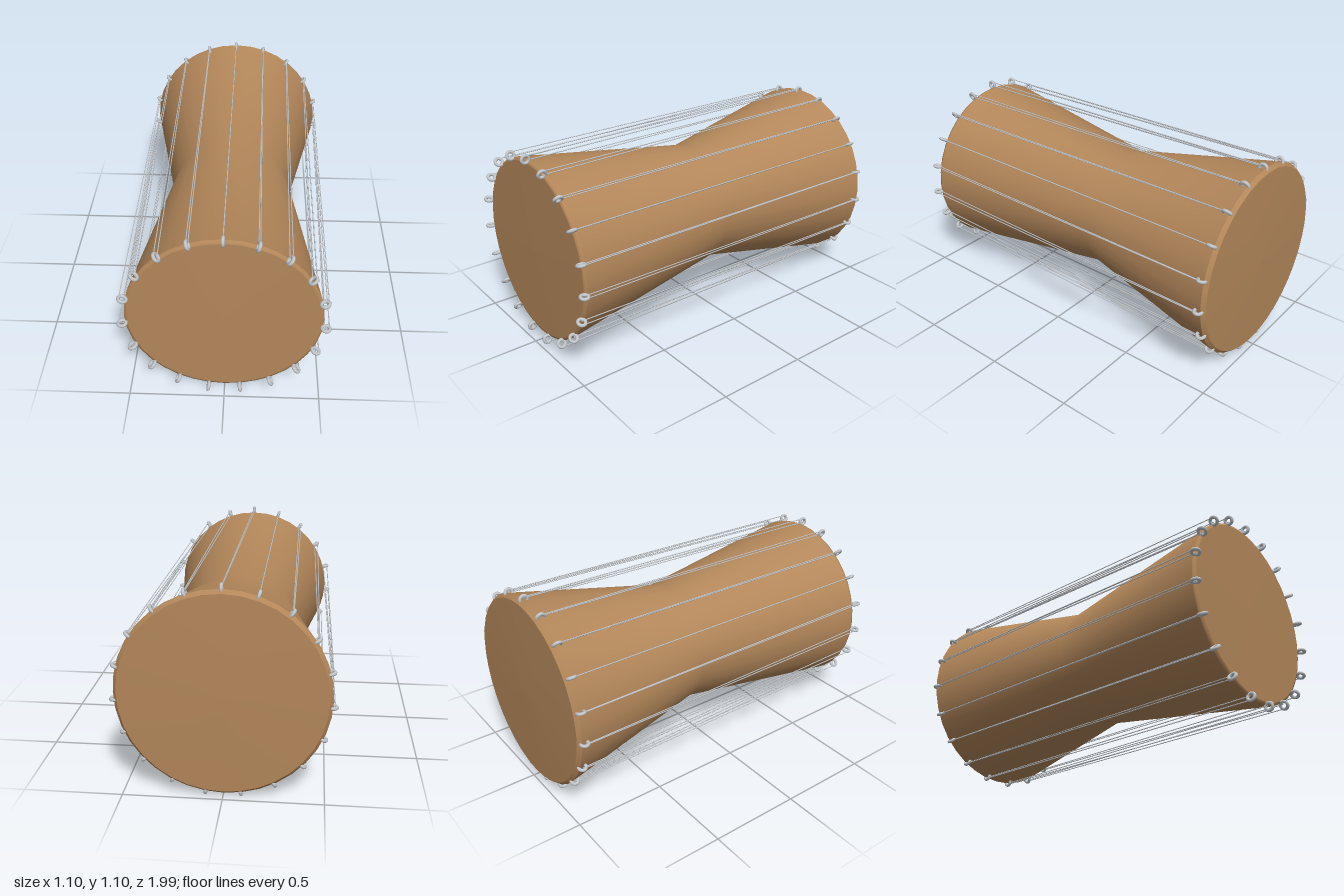
import * as THREE from 'three';

const CENTRE_Y = 0.55;
const RING_COUNT = 19;

export function createModel() {
  const model = new THREE.Group();
  const wood = new THREE.MeshStandardMaterial({ name: 'tan wood', color: 0xb3875a });
  const metal = new THREE.MeshStandardMaterial({ name: 'silver metal', color: 0xc2c6ca });

  const drum = new THREE.Group();
  drum.name = 'drum';
  drum.position.y = CENTRE_Y;
  model.add(drum);

  // Turned section around the z axis; profile is [radius, z] from back to front
  const turned = (name, profile) => {
    const points = profile.map(([r, z]) => new THREE.Vector2(r, z));
    const geometry = new THREE.LatheGeometry(points, 36).rotateX(Math.PI / 2);
    const mesh = new THREE.Mesh(geometry, wood);
    mesh.name = name;
    drum.add(mesh);
  };

  // Hourglass shell, rims and drum heads
  turned('backHead', [[0, -0.995], [0.25, -0.992], [0.508, -0.985]]);
  turned('backRim', [[0.508, -0.985], [0.526, -0.965]]);
  turned('shell', [[0.526, -0.965], [0.34, -0.08], [0.495, 0.945]]);
  turned('frontRim', [[0.495, 0.945], [0.493, 0.955], [0.48, 0.96]]);
  turned('frontHead', [[0.48, 0.96], [0, 0.964]]);

  // Metal rings around both rims, joined by pairs of tension cords
  const ringGeometry = new THREE.TorusGeometry(0.02, 0.009, 8, 16).rotateX(Math.PI / 2);
  const addRing = (parent, name, r, z) => {
    const ring = new THREE.Mesh(ringGeometry, metal);
    ring.name = name;
    ring.position.set(r, 0, z);
    parent.add(ring);
  };
  const addCord = (parent, name, frontR, backR) => {
    const path = new THREE.LineCurve3(
      new THREE.Vector3(backR, 0, -0.95), new THREE.Vector3(frontR, 0, 0.968));
    const cord = new THREE.Mesh(new THREE.TubeGeometry(path, 1, 0.0028, 6), metal);
    cord.name = name;
    parent.add(cord);
  };
  for (let i = 0; i < RING_COUNT; i++) {
    const lacing = new THREE.Group();
    lacing.name = 'lacing' + (i + 1);
    lacing.rotation.z = Math.PI / 2 - (i / RING_COUNT) * Math.PI * 2;
    addRing(lacing, 'frontRing', 0.505, 0.97);
    addRing(lacing, 'backRing', 0.523, -0.95);
    addCord(lacing, 'outerCord', 0.523, 0.536);
    addCord(lacing, 'innerCord', 0.499, 0.53);
    drum.add(lacing);
  }
  return model;
}
